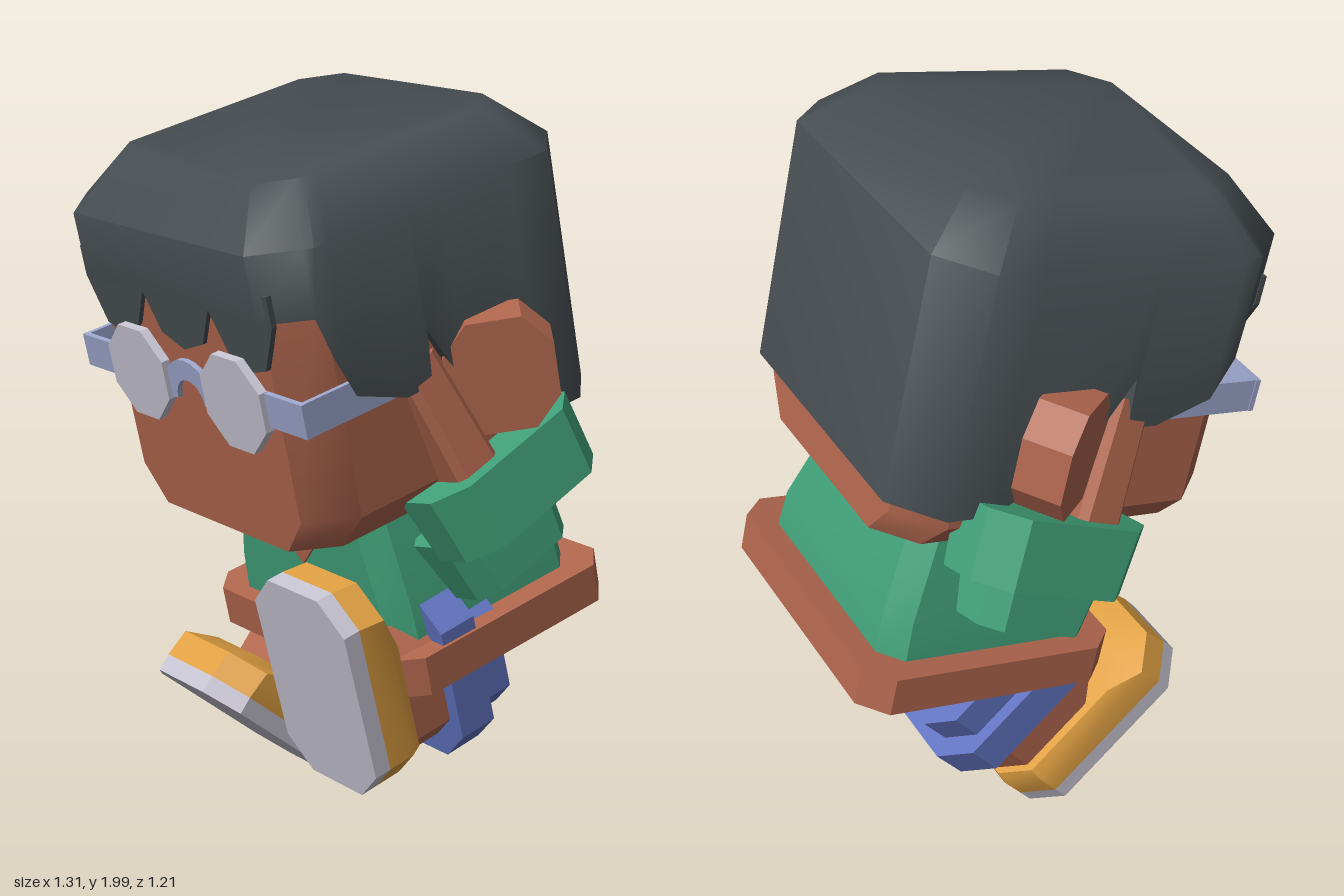
import * as THREE from 'three';
import { toCreasedNormals } from 'three/addons/utils/BufferGeometryUtils.js';

const paint = (name, color) => {
  const m = new THREE.MeshStandardMaterial({ color, side: THREE.DoubleSide });
  m.name = name;
  return m;
};

// Skin a stack of equal-length rings, listed from bottom to top
function loft(rings, crease = 0.5, capBottom = true) {
  const n = rings[0].length, index = [];
  for (let r = 0; r < rings.length - 1; r++) {
    for (let i = 0; i < n; i++) {
      const j = (i + 1) % n, a = r * n + i, b = r * n + j;
      index.push(a, b, b + n, a, b + n, a + n);
    }
  }
  const top = (rings.length - 1) * n;
  for (let i = 1; i < n - 1; i++) {
    index.push(top, top + i, top + i + 1);
    if (capBottom) index.push(0, i + 1, i);
  }
  const g = new THREE.BufferGeometry();
  g.setAttribute('position', new THREE.Float32BufferAttribute(rings.flat(2), 3));
  g.setIndex(index);
  return toCreasedNormals(g, crease);
}

// Rectangle with cut corners at height y
const oct = (y, hx, z0, z1, c) => [
  [hx, y, z1 - c], [hx, y, z0 + c], [hx - c, y, z0], [c - hx, y, z0],
  [-hx, y, z0 + c], [-hx, y, z1 - c], [c - hx, y, z1], [hx - c, y, z1],
];

function add(parent, name, geometry, material, x = 0, y = 0, z = 0) {
  const mesh = new THREE.Mesh(geometry, material);
  mesh.name = name;
  mesh.position.set(x, y, z);
  parent.add(mesh);
  return mesh;
}

function plate(points, depth) {
  const shape = new THREE.Shape(points.map(([x, y]) => new THREE.Vector2(x, y)));
  return new THREE.ExtrudeGeometry(shape, { depth, bevelEnabled: false });
}

export function createModel() {
  const skin = paint('skin', 0xb0664e);
  const hair = paint('hair', 0x474e52);
  const green = paint('shirt green', 0x41a07a);
  const blue = paint('trouser blue', 0x6073c0);
  const orange = paint('shoe orange', 0xe0a042);
  const pale = paint('pale grey', 0xc6c3d1);
  const frame = paint('frame lavender', 0x9ca6cc);

  const model = new THREE.Group();
  model.name = 'figure';

  // Head and torso lean forward together
  const upper = new THREE.Group();
  upper.name = 'upperBody';
  upper.rotation.x = 0.215;
  model.add(upper);

  add(upper, 'hem', loft([oct(0.48, 0.44, -0.72, 0.03, 0.07), oct(0.59, 0.44, -0.72, 0.03, 0.07)]), skin);
  add(upper, 'shirt', loft([
    oct(0.585, 0.37, -0.65, -0.02, 0.06),
    oct(0.70, 0.36, -0.645, -0.02, 0.06),
    oct(0.97, 0.3, -0.575, -0.025, 0.06),
  ]), green);
  add(upper, 'neckline', plate([[-0.2, 0.962], [0, 0.755], [0.2, 0.962]], 0.008), skin, 0, 0, -0.02);
  add(upper, 'head', loft([
    oct(0.96, 0.37, -0.72, 0.2, 0.1),
    oct(1.06, 0.46, -0.72, 0.2, 0.11),
    oct(1.75, 0.46, -0.72, 0.2, 0.11),
  ], 0.6), skin);

  // Hair: half outline as x, z, lower edge height, from front to back
  const half = [
    [0.375, 0.23, 1.607], [0.475, 0.13, 1.605], [0.495, 0.11, 1.5], [0.495, 0.065, 1.386],
    [0.495, -0.085, 1.323], [0.495, -0.167, 1.325], [0.495, -0.178, 1.466], [0.495, -0.28, 1.27],
    [0.495, -0.51, 1.107], [0.495, -0.64, 1.107], [0.375, -0.757, 1.107],
  ];
  const outline = [...half, ...half.map(([x, z, y]) => [-x, z, y]).reverse()];
  const mid = -0.263;
  const hairRing = (k, y) => outline.map(([x, z, low]) => [x * k, y ?? low, mid + (z - mid) * k]);
  add(upper, 'hair', loft([hairRing(0.92), hairRing(1), hairRing(1, 1.782), hairRing(0.757, 1.909)], 0.9, false), hair);

  // Jagged fringe lying on the forehead
  const tips = [[0.41, 1.6], [0.35, 1.477], [0.26, 1.455], [0.2, 1.497], [0.145, 1.6], [0.09, 1.497]];
  const fringe = [[0.41, 1.68], ...tips, [0, 1.466], ...tips.map(([x, y]) => [-x, y]).reverse(), [-0.41, 1.68]];
  add(upper, 'fringe', plate(fringe, 0.015), hair, 0, 0, 0.198);

  // Glasses
  const bridge = new THREE.Shape();
  bridge.absarc(0, 0, 0.115, 0, Math.PI, false);
  bridge.absarc(0, 0, 0.06, Math.PI, 0, true);
  add(upper, 'bridge', new THREE.ExtrudeGeometry(bridge, { depth: 0.015, bevelEnabled: false, curveSegments: 6 }),
    frame, 0, 1.325, 0.21);

  for (const s of [1, -1]) {
    const lens = add(upper, 'lens', new THREE.CylinderGeometry(0.135, 0.135, 0.025, 8).toNonIndexed(), pale, s * 0.21, 1.37, 0.225);
    lens.geometry.rotateY(Math.PI / 8).rotateX(Math.PI / 2);
    lens.geometry.computeVertexNormals();
    add(upper, 'frameFront', new THREE.BoxGeometry(0.18, 0.09, 0.015), frame, s * 0.395, 1.375, 0.215);
    add(upper, 'frameArm', new THREE.BoxGeometry(0.014, 0.09, 0.32), frame, s * 0.476, 1.375, 0.06);

    // Ear: thick cut-cornered slab swept backwards
    const ear = add(upper, 'ear', plate([
      [0.14, -0.07], [0.14, 0.07], [0.07, 0.15], [-0.07, 0.15],
      [-0.14, 0.07], [-0.14, -0.07], [-0.07, -0.15], [0.07, -0.15],
    ], 0.13).translate(0, 0, -0.065), skin, s * 0.517, 1.3, -0.37);
    ear.rotation.y = s * 0.885;

    // Raised arm, with the hand tucked against the cheek
    const arm = new THREE.Group();
    arm.name = s > 0 ? 'leftArm' : 'rightArm';
    arm.position.set(s * 0.49, 1.04, -0.11);
    arm.rotation.set(0.45, 0, s * 0.25);
    model.add(arm);
    add(arm, 'cuff', loft([oct(-0.09, 0.14, -0.25, 0.23, 0.08), oct(0.1, 0.15, -0.26, 0.24, 0.08)]), green);
    add(arm, 'sleeve', loft([oct(-0.23, 0.1, -0.15, 0.18, 0.05), oct(-0.05, 0.12, -0.17, 0.2, 0.05)]), green, s * -0.08, 0, 0.03);
    add(arm, 'hand', loft([oct(0, 0.1, -0.07, 0.07, 0.02), oct(0.42, 0.1, -0.06, 0.06, 0.02)]), skin, 0, 0, 0.08);

    // Leg and shoe: y runs up the leg from the sole, z towards the toe
    const leg = new THREE.Group();
    leg.name = s > 0 ? 'leftLeg' : 'rightLeg';
    leg.position.set(s * 0.24, s > 0 ? 0.49 : 0.2, s > 0 ? 0.295 : 0.165);
    leg.rotation.x = s > 0 ? -1.318 : -0.686;
    model.add(leg);
    add(leg, 'sole', loft([oct(0, 0.19, -0.295, 0.295, 0.085), oct(0.05, 0.19, -0.295, 0.295, 0.085)]), pale);
    add(leg, 'shoe', loft([
      oct(0.05, 0.19, -0.295, 0.295, 0.085),
      oct(0.13, 0.19, -0.295, 0.285, 0.085),
      oct(0.165, 0.175, -0.285, 0.18, 0.08),
    ]), orange);
    add(leg, 'shin', loft([oct(0.14, 0.15, -0.275, 0.1, 0.07), oct(0.32, 0.15, -0.275, 0.1, 0.07)]), skin);
    add(leg, 'trouserCuff', loft([oct(0.296, 0.19, -0.335, 0.155, 0.085), oct(0.41, 0.19, -0.335, 0.155, 0.085)]), blue);
    add(leg, 'trouserLeg', loft([oct(0.4, 0.155, -0.285, 0.1, 0.075), oct(0.51, 0.155, -0.285, 0.1, 0.075)]), blue);
  }
  return model;
}
